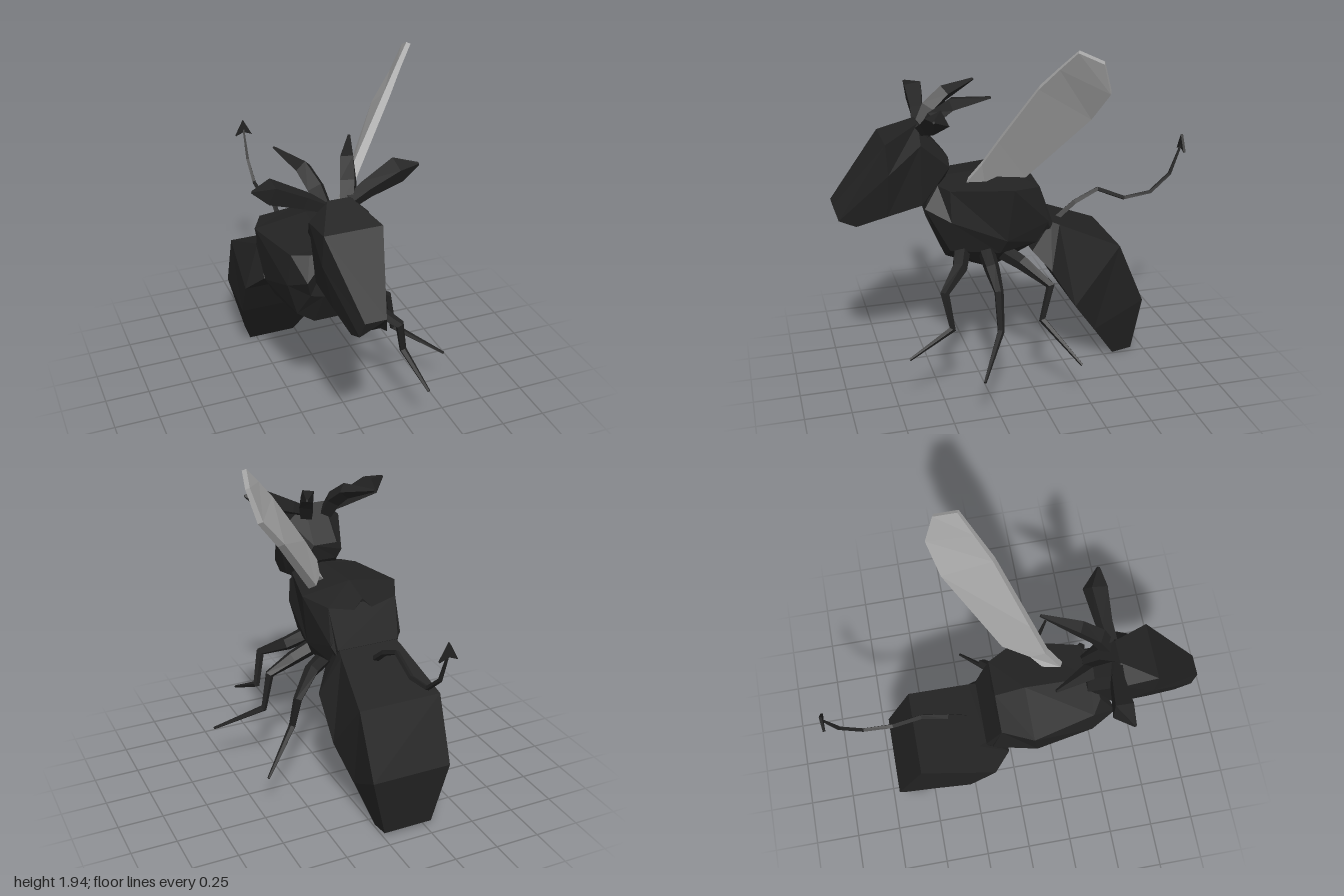
import * as THREE from 'three';

const CX = -0.15; // body's symmetry plane
const V = (x, y, z) => new THREE.Vector3(x, y, z);

// Closed, flat-faceted skin through equal-length rings of points, with end caps
function loft(rings) {
  const n = rings[0].length;
  const tris = [];
  for (let i = 0; i < rings.length - 1; i++) {
    for (let j = 0; j < n; j++) {
      const k = (j + 1) % n, a = rings[i], b = rings[i + 1];
      tris.push([a[j], a[k], b[k]], [a[j], b[k], b[j]]);
    }
  }
  const first = rings[0], last = rings[rings.length - 1];
  for (let j = 1; j < n - 1; j++) {
    tris.push([first[0], first[j + 1], first[j]], [last[0], last[j], last[j + 1]]);
  }
  // Turn the faces outward whatever the ring direction
  let volume = 0;
  for (const [a, b, c] of tris) volume += a.dot(b.clone().cross(c));
  const points = tris.flatMap(([a, b, c]) => (volume < 0 ? [a, c, b] : [a, b, c]));
  const geo = new THREE.BufferGeometry().setFromPoints(points);
  geo.computeVertexNormals();
  return geo;
}

// Ring mirrored about the body plane from [halfWidth, y, z] points, top to bottom
function mirrorRing(half) {
  const right = half.map(([w, y, z]) => V(CX + w, y, z));
  const left = half.filter(p => p[0] > 0).reverse().map(([w, y, z]) => V(CX - w, y, z));
  return [...right, ...left];
}

// Tapered, jointed limb through [x, y, z, radius] points
function limb(path, sides = 4) {
  const pts = path.map(p => V(p[0], p[1], p[2]));
  let u = V(0.3, 0.5, 0.8);
  return loft(pts.map((p, i) => {
    const t = pts[Math.min(i + 1, pts.length - 1)].clone()
      .sub(pts[Math.max(i - 1, 0)]).normalize();
    u = u.clone().addScaledVector(t, -u.dot(t)).normalize();
    const v = t.clone().cross(u);
    return Array.from({ length: sides }, (_, j) => {
      const a = (j / sides) * Math.PI * 2;
      return p.clone().addScaledVector(u, Math.cos(a) * path[i][3])
        .addScaledVector(v, Math.sin(a) * path[i][3]);
    });
  }));
}

export function createModel() {
  const model = new THREE.Group();
  const black = new THREE.MeshStandardMaterial({ color: 0x222222, flatShading: true });
  black.name = 'charcoal';
  const grey = new THREE.MeshStandardMaterial({ color: 0xa4a4a4, flatShading: true });
  grey.name = 'wing grey';
  const add = (name, geo, mat = black) => {
    const mesh = new THREE.Mesh(geo, mat);
    mesh.name = name;
    model.add(mesh);
  };

  // Thorax, neck to waist
  add('thorax', loft([
    [[0, 1.14, 0.45], [0.12, 1.13, 0.45], [0.16, 1.02, 0.53], [0.13, 0.92, 0.49], [0, 0.9, 0.49]],
    [[0, 1.145, 0.42], [0.2, 1.12, 0.4], [0.22, 0.95, 0.4], [0.17, 0.77, 0.4], [0.08, 0.71, 0.41]],
    [[0, 1.166, 0.07], [0.28, 1.12, 0.07], [0.24, 0.82, 0.1], [0.2, 0.74, 0.13], [0.1, 0.62, 0.166]],
    [[0, 1.12, -0.09], [0.2, 1.1, -0.09], [0.21, 0.9, -0.14], [0.19, 0.78, -0.08], [0.12, 0.73, -0.05]],
  ].map(r => mirrorRing(r.map((p, i) => (i === 4 ? [Math.max(p[0], 0.06), p[1], p[2]] : p))))));
  add('waist', loft([
    [[0.2, 1.1, -0.09], [0.21, 0.9, -0.13], [0.12, 0.73, -0.05]],
    [[0.18, 0.88, -0.17], [0.18, 0.84, -0.16], [0.12, 0.73, -0.06]],
  ].map(mirrorRing)));

  // Abdomen, bent down behind the waist
  add('abdomen', loft([
    [[0.17, 0.88, -0.165], [0.2, 0.73, -0.05]],
    [[0.18, 0.86, -0.21], [0.28, 0.63, -0.14]],
    [[0.235, 0.717, -0.547], [0.26, 0.39, -0.285]],
    [[0.225, 0.364, -0.697], [0.2, 0.2, -0.42]],
    [[0.14, 0.02, -0.67], [0.14, 0.002, -0.557]],
  ].map(mirrorRing)));

  // Long-snouted head
  add('head', loft([
    [[0.07, 1.267, 0.38], [0.1, 1.22, 0.38], [0.08, 1.165, 0.4]],
    [[0.06, 1.465, 0.536], [0.155, 1.37, 0.54], [0.12, 1.027, 0.536]],
    [[0.15, 1.387, 0.724], [0.155, 1.22, 0.715], [0.1, 0.975, 0.72]],
    [[0.055, 1.05, 1.0], [0.07, 0.965, 0.975], [0.075, 0.925, 0.885]],
  ].map(mirrorRing)));

  // Ears and swept-back horns, mirrored
  for (const [side, s] of [['left', 1], ['right', -1]]) {
    add(side + 'Ear', limb([
      [CX + s * 0.07, 1.43, 0.52, 0.035], [CX + s * 0.16, 1.47, 0.5, 0.045],
      [CX + s * 0.33, 1.54, 0.485, 0.065], [CX + s * 0.425, 1.57, 0.52, 0.008]]));
    add(side + 'Horn', limb([
      [CX + s * 0.06, 1.41, 0.5, 0.045], [CX + s * 0.085, 1.5, 0.45, 0.05],
      [CX + s * 0.115, 1.57, 0.36, 0.045], [CX + s * 0.2, 1.614, 0.177, 0.008]]));
  }

  // Single wing: [leading point, trailing point, half thickness] along the span
  const normal = V(-0.82, 0.41, -0.41).normalize();
  add('leftWing', loft([
    [V(-0.05, 1.14, 0.285), V(-0.03, 1.14, 0.19), 0.02],
    [V(0.0, 1.25, 0.21), V(0.02, 1.185, 0.134), 0.022],
    [V(0.1, 1.4, 0.145), V(0.1, 1.195, 0.0), 0.022],
    [V(0.335, 1.727, 0.0), V(0.38, 1.567, -0.26), 0.018],
    [V(0.43, 1.84, -0.075), V(0.505, 1.72, -0.312), 0.014],
    [V(0.515, 1.935, -0.14), V(0.545, 1.88, -0.26), 0.012],
  ].map(([lead, trail, t]) => [
    lead.clone().addScaledVector(normal, t), trail.clone().addScaledVector(normal, t),
    trail.clone().addScaledVector(normal, -t), lead.clone().addScaledVector(normal, -t)])), grey);

  // Three jointed legs
  const radii = [0.05, 0.042, 0.026, 0.02, 0.008];
  const legs = {
    frontLeg: [[-0.02, 0.76, 0.33], [0.1, 0.7, 0.37], [0.225, 0.62, 0.48], [0.265, 0.43, 0.45], [0.31, 0.305, 0.69]],
    middleLeg: [[-0.03, 0.76, 0.2], [0.14, 0.69, 0.2], [0.28, 0.62, 0.2], [0.32, 0.41, 0.2], [0.57, 0.26, 0.35]],
    hindLeg: [[-0.03, 0.72, 0.1], [0.1, 0.69, 0.02], [0.235, 0.6, -0.1], [0.25, 0.41, -0.05], [0.46, 0.22, -0.21]],
  };
  for (const [name, path] of Object.entries(legs)) {
    add(name, limb(path.map((p, i) => [...p, radii[i]]), 5));
  }

  // Kinked tail with a flat arrow tip
  add('tail', limb([
    [0.83, -0.25, 0.02], [0.915, -0.355, 0.018], [0.98, -0.49, 0.015], [0.91, -0.65, 0.014],
    [0.93, -0.81, 0.013], [1.03, -0.925, 0.012], [1.2, -0.988, 0.007],
  ].map(([y, z, r]) => [CX, y, z, r])));
  const arrow = new THREE.Shape([[0, 0.075], [-0.05, -0.02], [0, 0], [0.05, -0.02]]
    .map(([x, y]) => new THREE.Vector2(x, y)));
  const tip = new THREE.ExtrudeGeometry(arrow, { depth: 0.014, bevelEnabled: false });
  add('tailTip', tip.translate(CX, 1.185, -0.997));

  return model;
}
